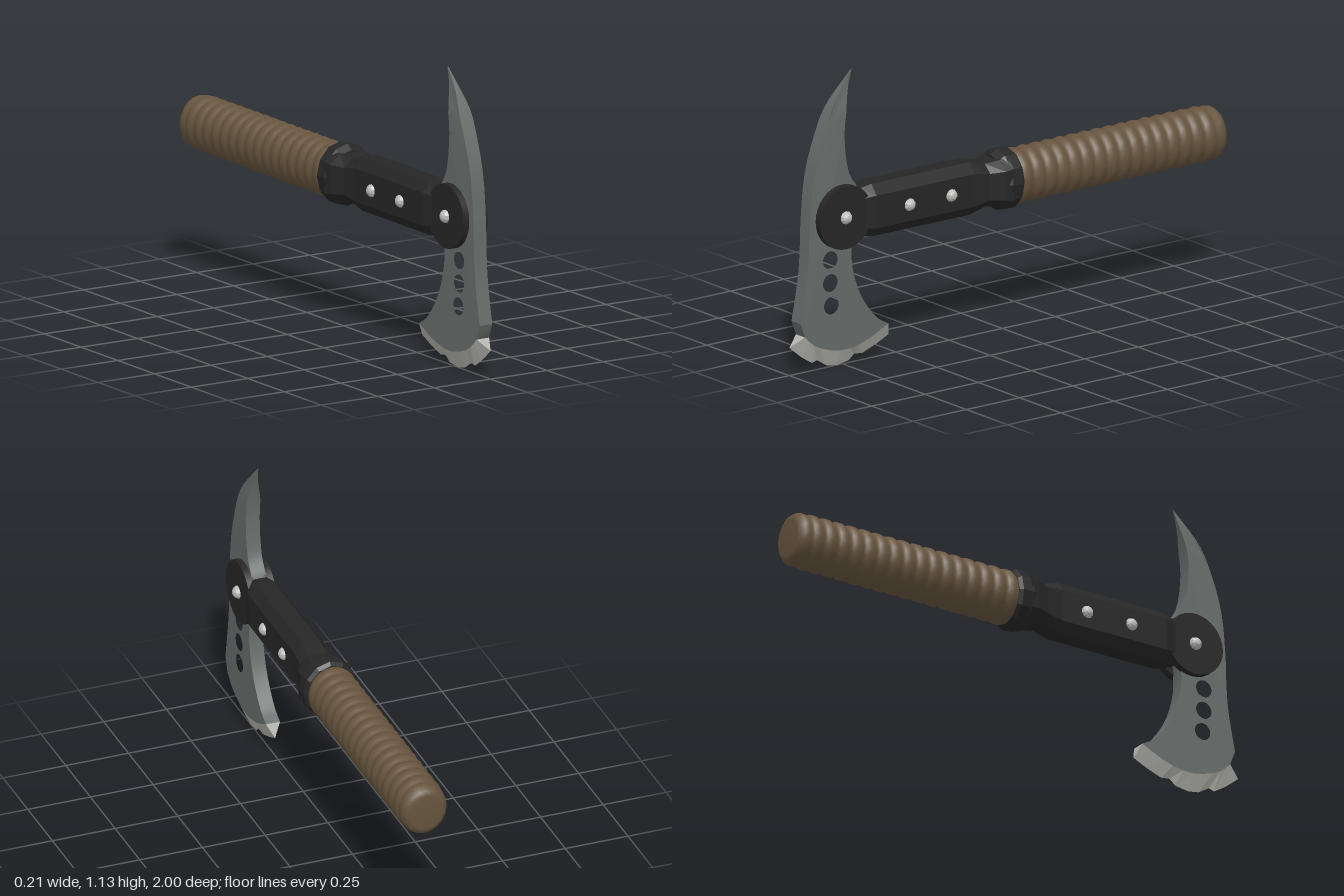
import * as THREE from 'three';
import { toCreasedNormals } from 'three/addons/utils/BufferGeometryUtils.js';

const mat = (name, color) => {
  const m = new THREE.MeshStandardMaterial({ color });
  m.name = name;
  return m;
};
const V = (p) => new THREE.Vector2(p[0], p[1]);
const spline = (pts, n) => new THREE.SplineCurve(pts.map(V)).getPoints(n);

const AXIS_Y = 0.583;   // height of the handle axis
const HALF = 0.028;     // half thickness of the blade

// Loft of chamfered (octagonal) sections [z, halfWidth, halfHeight] along z
function loftOctagon(sections) {
  const ring = ([z, w, h]) => [
    [1, 0.62], [0.52, 1], [-0.52, 1], [-1, 0.62], [-1, -0.62], [-0.52, -1], [0.52, -1], [1, -0.62],
  ].map(([x, y]) => [x * w, y * h, z]);
  const rings = sections.map(ring);
  const pos = [];
  const tri = (a, b, c) => pos.push(...a, ...b, ...c);
  for (let s = 0; s < rings.length - 1; s++) {
    for (let i = 0; i < 8; i++) {
      const j = (i + 1) % 8, A = rings[s], B = rings[s + 1];
      tri(A[i], A[j], B[j]);
      tri(A[i], B[j], B[i]);
    }
  }
  const first = rings[0], last = rings[rings.length - 1];
  for (let i = 1; i < 7; i++) {
    tri(first[0], first[i + 1], first[i]);
    tri(last[0], last[i], last[i + 1]);
  }
  const g = new THREE.BufferGeometry();
  g.setAttribute('position', new THREE.Float32BufferAttribute(pos, 3));
  g.computeVertexNormals();
  return g;
}

// Lathe around the z axis; profile is [radius, z] with rising z
function latheZ(profile, sides, widthScale) {
  const g = new THREE.LatheGeometry(profile.map(V), sides);
  g.rotateX(Math.PI / 2);
  g.scale(widthScale, 1, 1);
  return g;
}

export function createModel() {
  const group = new THREE.Group();
  const steel = mat('dark steel', 0x666b6a);
  const edgeSteel = mat('sharpened steel', 0xb4b4af);
  const rivetSteel = mat('rivet steel', 0xbcbcba);
  const black = mat('black', 0x262626);
  const brown = mat('brown grip', 0x66543e);

  const add = (name, geometry, material, x = 0, y = 0, z = 0) => {
    const mesh = new THREE.Mesh(geometry, material);
    mesh.name = name;
    mesh.position.set(x, y, z);
    group.add(mesh);
    return mesh;
  };

  // Blade outline in (z, y): front curve, lower border, back curve up to the spike
  const front = spline([[0.71, 1.135], [0.80, 1.03], [0.866, 0.89], [0.908, 0.75],
    [0.925, 0.59], [0.93, 0.46], [0.94, 0.35], [0.968, 0.2]], 28);
  const border = spline([[0.947, 0.144], [0.89, 0.096], [0.78, 0.064], [0.67, 0.078], [0.556, 0.128]], 10);
  const back = spline([[0.556, 0.128], [0.62, 0.17], [0.69, 0.27], [0.727, 0.39], [0.725, 0.5],
    [0.69, 0.6], [0.695, 0.67], [0.743, 0.75], [0.762, 0.89], [0.745, 1.02], [0.71, 1.135]], 36);
  const shape = new THREE.Shape([...front, ...border, ...back.slice(1, -1)]);
  for (const [z, y] of [[0.829, 0.422], [0.829, 0.334], [0.824, 0.246]]) {
    shape.holes.push(new THREE.Path().absarc(z, y, 0.034, 0, Math.PI * 2, true));
  }
  const blade = new THREE.ExtrudeGeometry(shape, { depth: 2 * HALF, bevelEnabled: false, curveSegments: 16 });
  blade.translate(0, 0, -HALF);
  blade.rotateY(-Math.PI / 2);
  // Thin the spike towards its tip
  const p = blade.attributes.position;
  for (let i = 0; i < p.count; i++) {
    const y = p.getY(i);
    const k = y < 0.98 ? 1 : y < 1.09 ? 1 - 0.82 * (y - 0.98) / 0.11 : 0.18 - 0.1 * (y - 1.09) / 0.045;
    p.setX(i, p.getX(i) * k);
  }
  add('blade', toCreasedNormals(blade, 0.5), steel);

  // Cutting edge: wedge from the lower border to a chipped sharp line
  const sharp = [[1.0, 0.107], [0.94, 0.058], [0.893, 0.029], [0.87, 0.036], [0.825, 0.008], [0.78, 0],
    [0.722, 0.008], [0.695, 0.03], [0.658, 0.025], [0.594, 0.048], [0.535, 0.075]];
  const pos = [];
  const tri = (a, b, c) => pos.push(...a, ...b, ...c);
  const inner = (i, side) => [side * HALF, border[i].y, border[i].x];
  const outer = (i) => [0, sharp[i][1], sharp[i][0]];
  for (let i = 0; i < 10; i++) {
    tri(inner(i, 1), outer(i), outer(i + 1));
    tri(inner(i, 1), outer(i + 1), inner(i + 1, 1));
    tri(inner(i, -1), outer(i + 1), outer(i));
    tri(inner(i, -1), inner(i + 1, -1), outer(i + 1));
  }
  tri(inner(0, -1), outer(0), inner(0, 1));
  tri(inner(10, 1), outer(10), inner(10, -1));
  const edge = new THREE.BufferGeometry();
  edge.setAttribute('position', new THREE.Float32BufferAttribute(pos, 3));
  edge.computeVertexNormals();
  add('cuttingEdge', edge, edgeSteel);

  // Round clamp plates on both sides of the blade
  for (const side of [1, -1]) {
    const plate = new THREE.CylinderGeometry(0.123, 0.123, 0.03, 32);
    plate.rotateZ(Math.PI / 2);
    add('clampPlate', plate, black, side * 0.038, AXIS_Y, 0.775);
  }

  // Handle shaft, narrowing to a neck at the collar
  add('shaft', loftOctagon([[0.02, 0.1, 0.1], [0.055, 0.096, 0.09], [0.11, 0.069, 0.083],
    [0.18, 0.065, 0.102], [0.64, 0.065, 0.102], [0.69, 0.052, 0.092], [0.72, 0.048, 0.08]]),
  black, 0, AXIS_Y, 0);

  // Collar
  const collar = latheZ([[0, -0.032], [0.106, -0.032], [0.119, -0.02], [0.119, 0.028], [0.1, 0.056], [0, 0.056]], 12, 0.89);
  add('collar', toCreasedNormals(collar, 0.3), black, 0, AXIS_Y, 0);

  // Ridged grip with a rounded butt
  const profile = [[0, -1], [0.07, -1], [0.088, -0.993], [0.1, -0.978], [0.104, -0.96]];
  const ridges = 16, start = -0.945, pitch = 0.0575;
  for (let r = 0; r < ridges; r++) {
    for (let k = 0; k < 6; k++) {
      const t = k / 6;
      profile.push([0.097 + 0.011 * Math.sin(Math.PI * t), start + (r + t) * pitch]);
    }
  }
  profile.push([0.097, -0.025]);
  add('grip', latheZ(profile, 20, 0.89), brown, 0, AXIS_Y, 0);

  // Rivets on both sides
  for (const side of [1, -1]) {
    for (const [z, x] of [[0.775, 0.05], [0.484, 0.058], [0.288, 0.058]]) {
      const rivet = new THREE.SphereGeometry(0.026, 10, 7);
      rivet.rotateZ(Math.PI / 2);
      add('rivet', toCreasedNormals(rivet, 0.1), rivetSteel, side * x, AXIS_Y, z);
    }
  }
  return group;
}
